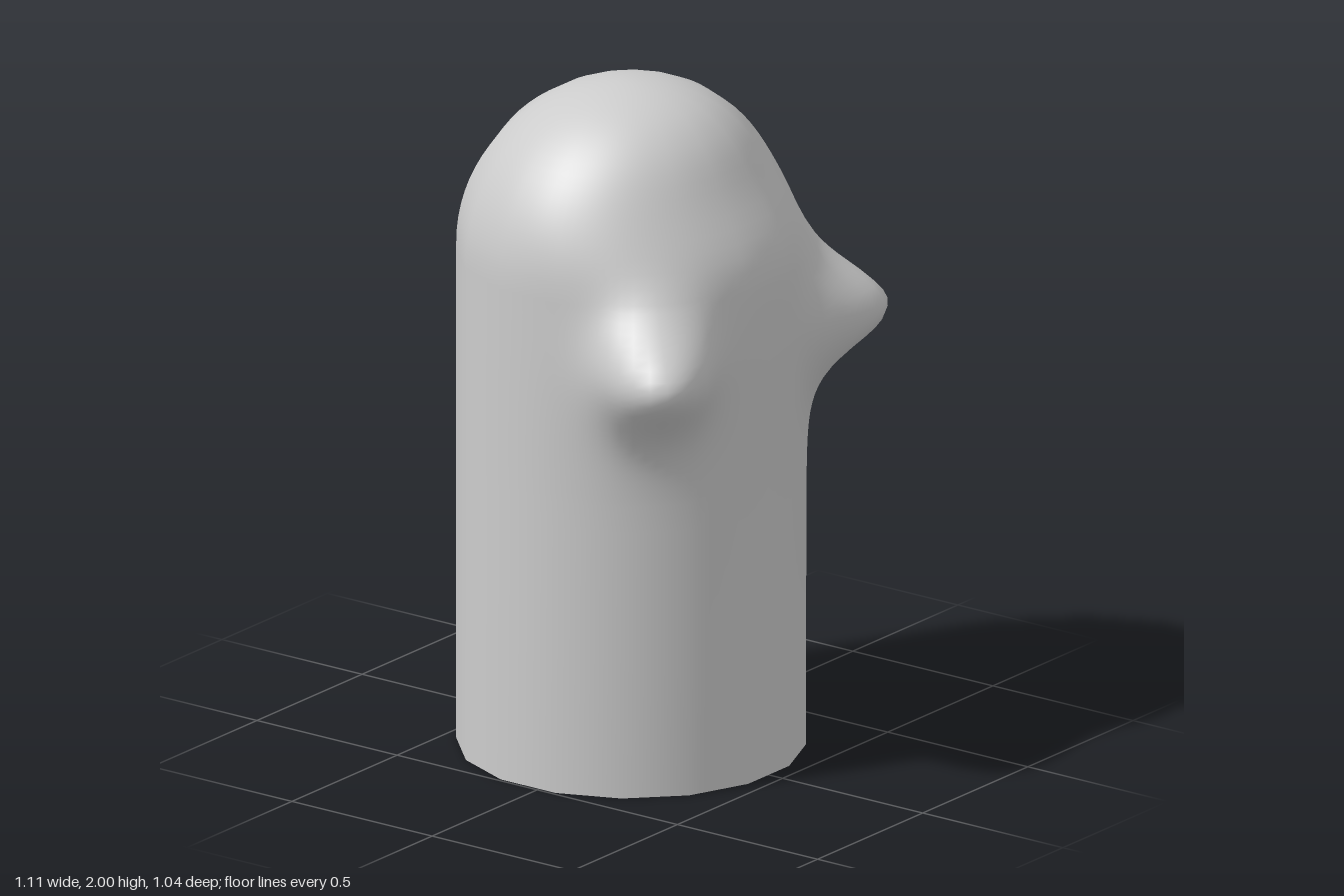
import * as THREE from 'three';

const SIDES = 16;          // facets of the column outline
const COLS = SIDES * 6;    // grid columns around the body
const RADIUS = 0.5;
const SHOULDER = 1.5;      // height where the dome begins
const CENTRE_Z = -0.04;
const HORN_Y = 1.29;

const bell = (d, w) => Math.exp(-((d / w) ** 2));

// Radius of the smooth body; angle 0 faces +z and grows towards +x
function bodyRadius(angle, y) {
  const rise = Math.max(0, y - SHOULDER);
  const base = Math.sqrt(Math.max(0, RADIUS * RADIUS - rise * rise));
  // two blunt horns on the front diagonals
  const around = RADIUS * (Math.abs(angle) - Math.PI / 4);
  const d = Math.hypot(around, (y - HORN_Y) / 1.15);
  const horn = 0.23 * bell(d, 0.135) + 0.025 * bell(d, 0.24);
  // the front of the dome slopes back a little
  const front = Math.max(0, Math.cos(angle)) ** 1.5;
  const slope = 0.055 * front * bell(y - 1.74, 0.17);
  return Math.max(0, base + horn - slope * Math.min(1, base / 0.3));
}

function createBodyGeometry() {
  // rows: plain column, fine horn band, dome
  const heights = [0, 0.4, 0.8];
  for (let y = 0.88; y < SHOULDER - 0.01; y += 0.025) heights.push(y);
  for (let i = 0; i < 20; i++) heights.push(SHOULDER + RADIUS * Math.sin((i / 20) * Math.PI / 2));

  const positions = [], indices = [];
  for (const y of heights) {
    for (let j = 0; j < COLS; j++) {
      const a = (j / COLS) * Math.PI * 2 - Math.PI;
      const r = bodyRadius(a, y);
      positions.push(r * Math.sin(a), y, CENTRE_Z + r * Math.cos(a));
    }
  }
  const top = positions.length / 3;
  positions.push(0, SHOULDER + RADIUS, CENTRE_Z);
  heights.forEach((_, i) => {
    for (let j = 0; j < COLS; j++) {
      const k = (j + 1) % COLS;
      const a = i * COLS + j, b = i * COLS + k;
      if (i === heights.length - 1) indices.push(a, b, top);
      else indices.push(a, b, b + COLS, a, b + COLS, a + COLS);
    }
  });

  const geometry = new THREE.BufferGeometry();
  geometry.setAttribute('position', new THREE.Float32BufferAttribute(positions, 3));
  geometry.setIndex(indices);
  geometry.computeVertexNormals();

  // flatten the round outline into facets while keeping the smooth normals
  const p = geometry.attributes.position;
  const step = (Math.PI * 2) / SIDES;
  for (let i = 0; i < top; i++) {
    const x = p.getX(i), z = p.getZ(i) - CENTRE_Z;
    const a = Math.atan2(x, z);
    const f = Math.cos(step / 2) / Math.cos(a - Math.round(a / step) * step);
    p.setX(i, x * f);
    p.setZ(i, CENTRE_Z + z * f);
  }
  return geometry;
}

export function createModel() {
  const group = new THREE.Group();
  group.name = 'hornedColumn';
  // open underneath, so both faces show
  const material = new THREE.MeshStandardMaterial({ color: 0xcccccc, side: THREE.DoubleSide });
  const body = new THREE.Mesh(createBodyGeometry(), material);
  body.name = 'domedBodyWithHorns';
  group.add(body);
  return group;
}
